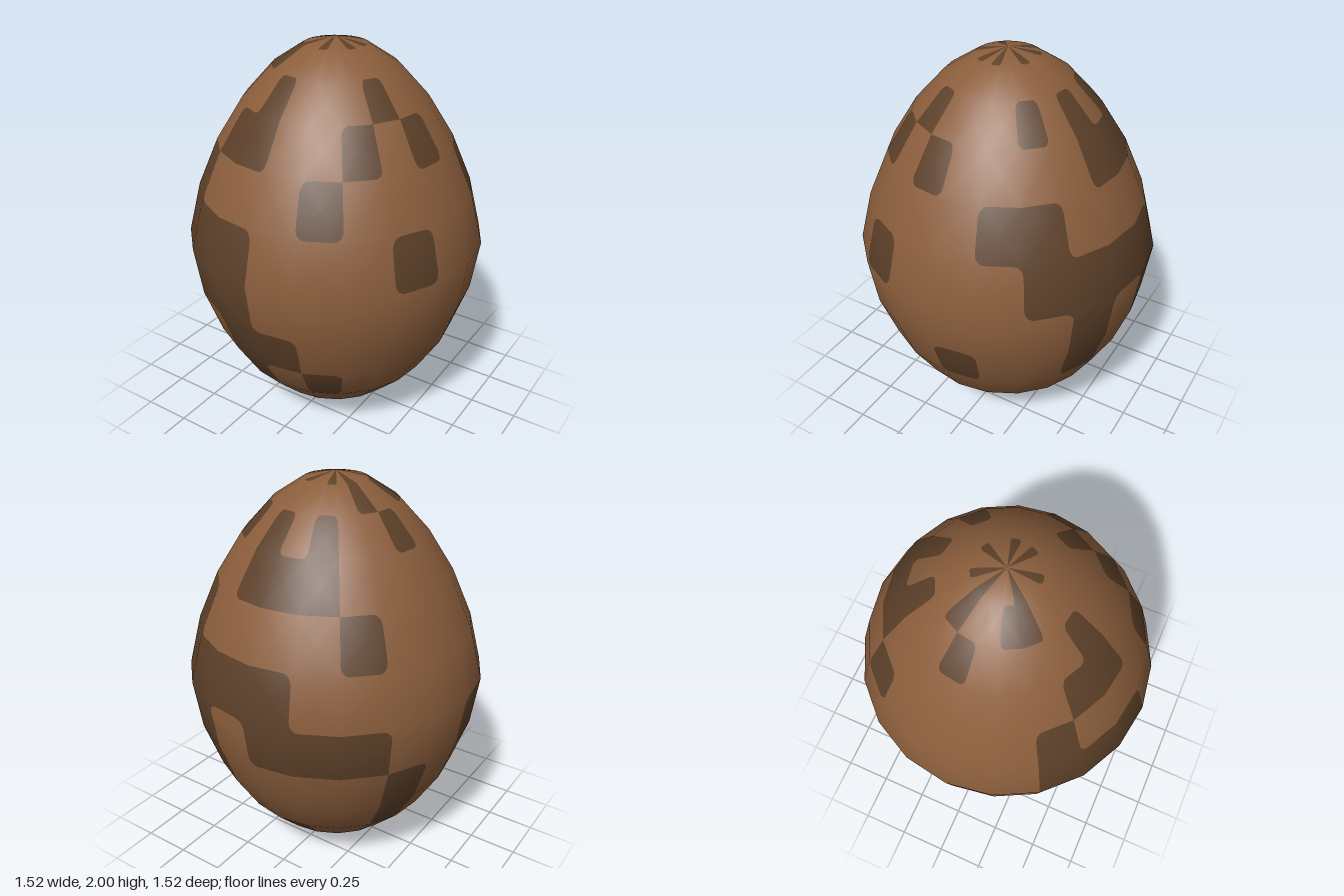
import * as THREE from 'three';

const COLS = 20, ROWS = 12, ROUND = 0.2;

// Columns of the dark cells in each ring, from the bottom up (column 0 starts at the front, going to +x)
const SPOTS = [
  [0, 4, 7],
  [0, 4, 6, 7],
  [7, 10, 16],
  [1, 13, 19],
  [0, 5, 8, 13, 17, 19],
  [8, 10, 11, 12, 15, 17, 18, 19],
  [3, 7, 8, 9, 10, 17, 18, 19],
  [1, 6, 7, 12, 17],
  [2, 4, 9, 10, 11, 18, 19],
  [3, 7, 9, 11, 14, 19],
  [13, 16, 17],
  [0, 3, 5, 8, 11, 13, 17],
];

// Egg profile: an ellipse that narrows more towards the top
function profile(t) {
  const h = -Math.cos(t);
  const taper = h > 0 ? 1 - 0.215 * h : 1 + 0.06 * h;
  return [0.76 * Math.sin(t) * taper, 1 + h];
}

function ringPoint(row, col) {
  const t = Math.PI * row / ROWS, a = 2 * Math.PI * col / COLS, e = 0.04;
  const [r, y] = profile(t);
  const [r0, y0] = profile(t - e), [r1, y1] = profile(t + e);
  const pole = row === 0 || row === ROWS;
  const nr = pole ? 0 : y1 - y0, ny = pole ? (row ? 1 : -1) : r0 - r1;
  return {
    p: new THREE.Vector3(r * Math.sin(a), y, r * Math.cos(a)),
    n: new THREE.Vector3(nr * Math.sin(a), ny, nr * Math.cos(a)).normalize(),
  };
}

const isDark = (row, col) => SPOTS[row].includes((col + COLS) % COLS);

// Collects triangles for one colour
function surface() {
  const pos = [], nor = [];
  return {
    add(cell, ...uvs) {
      for (const [u, v] of uvs) {
        for (const [key, out] of [['p', pos], ['n', nor]]) {
          const low = cell[0][key].clone().lerp(cell[1][key], u);
          const high = cell[3][key].clone().lerp(cell[2][key], u);
          low.lerp(high, v);
          if (key === 'n') low.normalize();
          out.push(low.x, low.y, low.z);
        }
      }
    },
    mesh(name, material) {
      const g = new THREE.BufferGeometry();
      g.setAttribute('position', new THREE.Float32BufferAttribute(pos, 3));
      g.setAttribute('normal', new THREE.Float32BufferAttribute(nor, 3));
      const m = new THREE.Mesh(g, material);
      m.name = name;
      return m;
    },
  };
}

export function createModel() {
  const group = new THREE.Group();
  group.name = 'egg';
  const shellBrown = new THREE.MeshStandardMaterial({ color: 0x8b5e3c });
  shellBrown.name = 'shellBrown';
  const spotBrown = new THREE.MeshStandardMaterial({ color: 0x5c4029 });
  spotBrown.name = 'spotBrown';

  const shell = surface(), spots = surface();
  const corners = [[0, 0], [1, 0], [1, 1], [0, 1]];

  for (let row = 0; row < ROWS; row++) {
    for (let col = 0; col < COLS; col++) {
      const cell = corners.map(([u, v]) => ringPoint(row + v, col + u));
      const dark = isDark(row, col);
      const own = dark ? spots : shell, other = dark ? shell : spots;
      const outline = [];

      corners.forEach((c, k) => {
        // A corner is rounded where all three cells around it have the other colour
        const dr = c[1] ? 1 : -1, dc = c[0] ? 1 : -1;
        const rounded = row + dr >= 0 && row + dr < ROWS &&
          isDark(row + dr, col) !== dark && isDark(row, col + dc) !== dark &&
          isDark(row + dr, col + dc) !== dark;
        if (!rounded) { outline.push(c); return; }
        const prev = corners[(k + 3) % 4], next = corners[(k + 1) % 4];
        const arc = [];
        for (let i = 0; i <= 4; i++) {
          const t = i * Math.PI / 8;
          const a = ROUND * (1 - Math.sin(t)), b = ROUND * (1 - Math.cos(t));
          arc.push([0, 1].map(j => c[j] + a * (prev[j] - c[j]) + b * (next[j] - c[j])));
        }
        for (let i = 0; i < 4; i++) other.add(cell, c, arc[i + 1], arc[i]);
        outline.push(...arc);
      });

      outline.forEach((p, i) => own.add(cell, [0.5, 0.5], p, outline[(i + 1) % outline.length]));
    }
  }

  group.add(shell.mesh('shell', shellBrown), spots.mesh('spots', spotBrown));
  return group;
}
